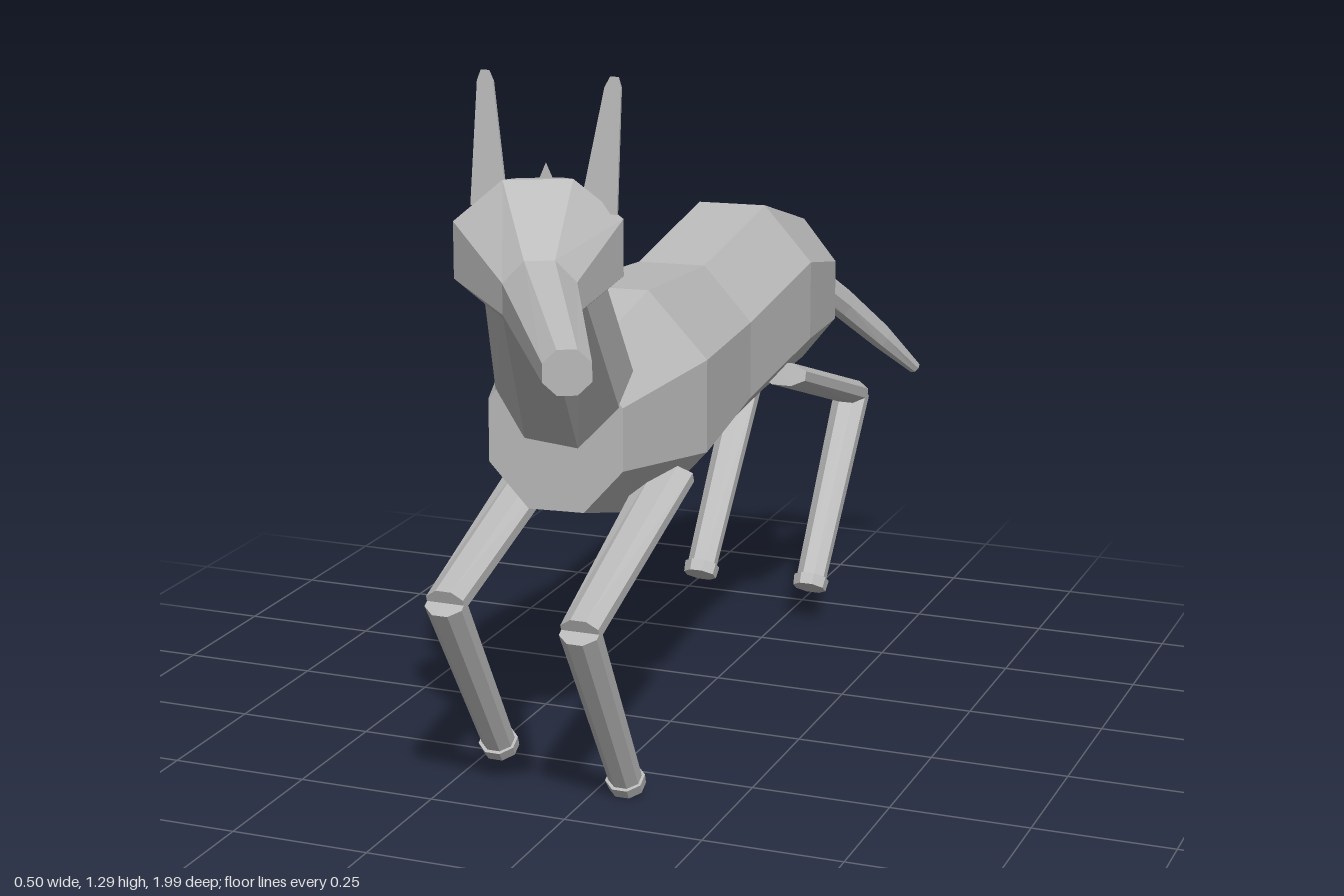
import * as THREE from 'three';

const V = (a) => new THREE.Vector3(...a);

// Lofts closed faceted skin through rings: { c: centre, r: side vector, u: up vector }
function loft(rings, sides = 8, phase = Math.PI / 8, grow = 1 / Math.cos(Math.PI / 8)) {
  const pts = rings.map(({ c, r, u }) => Array.from({ length: sides }, (_, i) => {
    const t = phase + (i * 2 * Math.PI) / sides;
    return c.clone().addScaledVector(r, Math.cos(t) * grow).addScaledVector(u, Math.sin(t) * grow);
  }));
  const pos = [];
  const tri = (...ps) => ps.forEach((p) => pos.push(p.x, p.y, p.z));
  const last = rings.length - 1;
  for (let i = 0; i < sides; i++) {
    const j = (i + 1) % sides;
    for (let k = 0; k < last; k++) {
      tri(pts[k][i], pts[k][j], pts[k + 1][j]);
      tri(pts[k][i], pts[k + 1][j], pts[k + 1][i]);
    }
    tri(rings[0].c, pts[0][j], pts[0][i]);
    tri(rings[last].c, pts[last][i], pts[last][j]);
  }
  const g = new THREE.BufferGeometry();
  g.setAttribute('position', new THREE.Float32BufferAttribute(pos, 3));
  g.computeVertexNormals();
  return g;
}

// Rings in a fixed frame, from rows of [x, y, z, halfWidth, halfHeight]
function fixedRings(rows, right) {
  const r = V(right).normalize();
  return rows.map(([x, y, z, w, h]) => ({
    c: V([x, y, z]), r: r.clone().multiplyScalar(w), u: new THREE.Vector3(0, h, 0),
  }));
}

// Rings square to the path through the rows
function pathRings(rows) {
  const c = rows.map((a) => V(a.slice(0, 3)));
  return rows.map((a, i) => {
    const d = c[Math.min(i + 1, c.length - 1)].clone().sub(c[Math.max(i - 1, 0)]).normalize();
    const r = new THREE.Vector3(1, 0, 0).addScaledVector(d, -d.x).normalize();
    const u = d.clone().cross(r);
    return { c: c[i], r: r.multiplyScalar(a[3]), u: u.multiplyScalar(a[4]) };
  });
}

export function createModel() {
  const model = new THREE.Group();
  const grey = new THREE.MeshStandardMaterial({ color: 0xb8b8b8, flatShading: true, side: THREE.DoubleSide });
  grey.name = 'grey';
  const add = (name, geometry, parent = model) => {
    const m = new THREE.Mesh(geometry, grey);
    m.name = name;
    parent.add(m);
    return m;
  };

  // Trunk, rump to chest
  add('body', loft(fixedRings([
    [-0.025, 0.675, -0.67, 0.11, 0.14],
    [-0.045, 0.705, -0.44, 0.155, 0.18],
    [-0.06, 0.653, -0.16, 0.15, 0.172],
    [-0.073, 0.637, 0.12, 0.182, 0.202],
    [-0.083, 0.625, 0.33, 0.12, 0.135],
  ], [1, 0, -0.1])));

  // Neck with a ridged mane
  add('neck', loft(pathRings([
    [-0.09, 0.68, 0.26, 0.115, 0.1],
    [-0.015, 0.98, 0.55, 0.085, 0.095],
  ])));
  add('mane', loft(fixedRings([
    [-0.085, 0.82, 0.235, 0.045, 0.055],
    [0, 1.088, 0.55, 0.04, 0.055],
  ], [0.96, 0, -0.26]), 3, Math.PI / 2, 1));

  // Head turned to its left, tapering to the muzzle
  add('head', loft(fixedRings([
    [-0.015, 1.04, 0.54, 0.085, 0.075],
    [0.012, 1.015, 0.61, 0.135, 0.112],
    [0.07, 0.967, 0.74, 0.058, 0.06],
    [0.215, 0.919, 0.975, 0.037, 0.035],
  ], [0.9, 0, -0.42])));

  // Thin upright ears
  for (const [name, s, cx, z] of [['leftEar', 1, 0.005, 0.565], ['rightEar', -1, 0.005, 0.575]]) {
    const x = (v) => cx + s * v;
    const shape = new THREE.Shape([
      [0.06, 0], [0.125, 0], [0.122, 0.2], [0.116, 0.217], [0.103, 0.217], [0.094, 0.2],
    ].map(([a, b]) => new THREE.Vector2(x(a), b)));
    const ear = add(name, new THREE.ExtrudeGeometry(shape, { depth: 0.005, bevelEnabled: false }));
    ear.position.set(0, 1.07, z);
    ear.rotation.x = -0.13;
  }

  // Legs: thigh, shin and flared hoof from hip, knee and foot points
  const legs = [
    ['rightFrontLeg', [-0.178, 0.535, 0.15], [-0.18, 0.388, 0.575], [-0.18, 0.055, 0.36]],
    ['leftFrontLeg', [0.055, 0.52, 0.15], [0.055, 0.36, 0.555], [0.055, 0.014, 0.35]],
    ['rightHindLeg', [-0.185, 0.56, -0.44], [-0.18, 0.423, -0.905], [-0.18, 0.07, -0.63]],
    ['leftHindLeg', [0.06, 0.56, -0.44], [0.055, 0.412, -0.89], [0.055, 0.07, -0.63]],
  ];
  for (const [name, hip, knee, foot] of legs) {
    const leg = new THREE.Group();
    leg.name = name;
    model.add(leg);
    add('thigh', loft(pathRings([[...hip, 0.046, 0.022], [...knee, 0.034, 0.024]])), leg);
    const ankle = V(foot).lerp(V(knee), 0.05).toArray();
    add('shin', loft(pathRings([[...knee, 0.034, 0.028], [...ankle, 0.028, 0.024]])), leg);
    const f = V(foot);
    add('hoof', loft(pathRings([
      [...ankle, 0.033, 0.03], [f.x, f.y - 0.001, f.z, 0.031, 0.028],
    ])), leg);
  }

  // Tail swinging back and to the left
  add('tail', loft(pathRings([
    [-0.03, 0.745, -0.66, 0.032, 0.03],
    [0.055, 0.615, -0.82, 0.026, 0.028],
    [0.11, 0.53, -0.91, 0.02, 0.024],
    [0.157, 0.45, -0.992, 0.012, 0.012],
  ])));

  return model;
}
